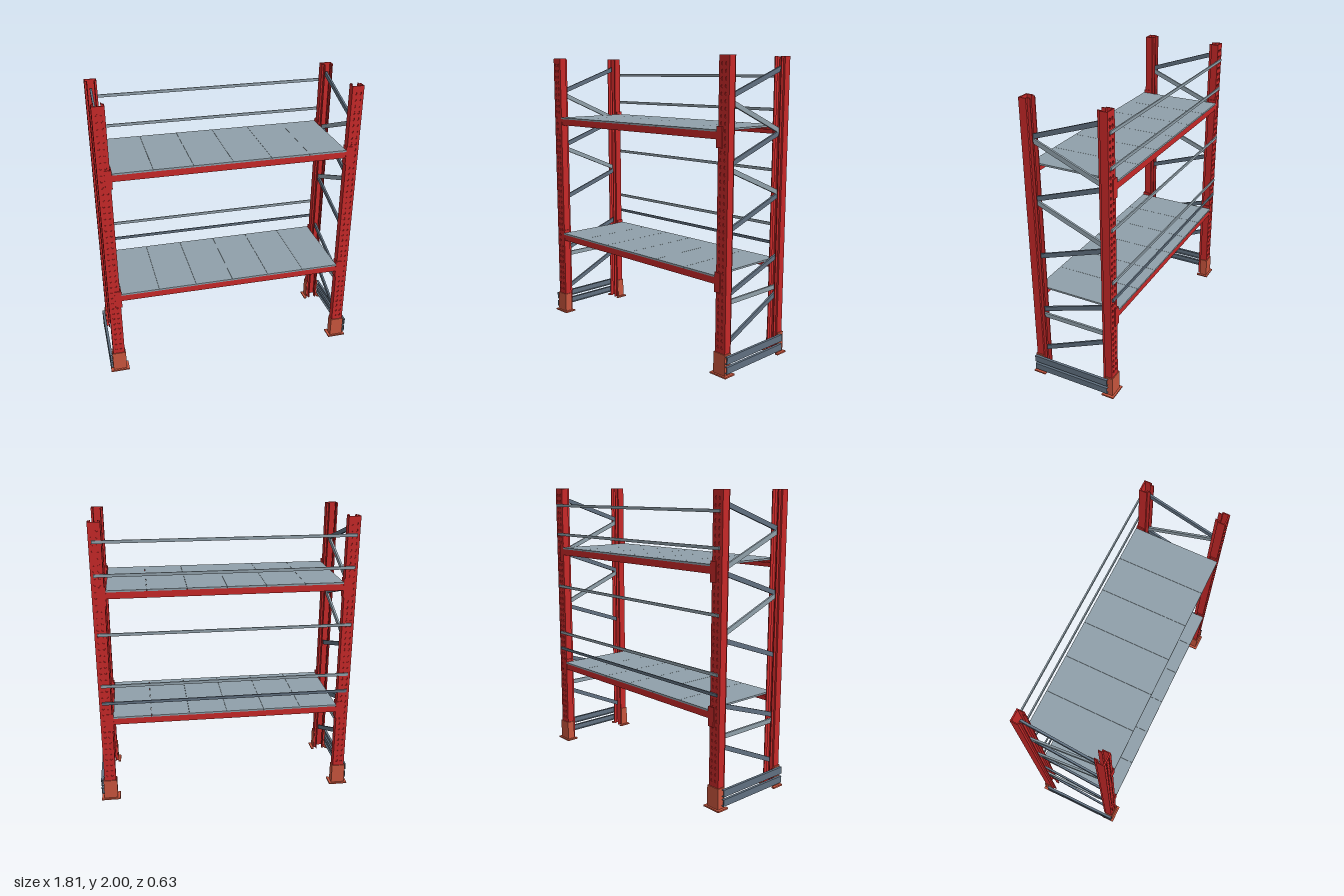
import * as THREE from 'three';

const mat = (name, color) => {
  const m = new THREE.MeshStandardMaterial({ color });
  m.name = name;
  return m;
};

export function createModel() {
  const red = mat('red paint', 0xc62828);
  const orange = mat('orange guard', 0xc8553d);
  const light = mat('light steel', 0x90a0aa);
  const dark = mat('dark steel', 0x607080);

  const root = new THREE.Group();
  root.name = 'palletRack';

  const group = (name, parent = root) => {
    const g = new THREE.Group();
    g.name = name;
    parent.add(g);
    return g;
  };
  // Box given by its limits on each axis
  const box = (parent, name, m, x0, x1, y0, y1, z0, z1) => {
    const mesh = new THREE.Mesh(new THREE.BoxGeometry(Math.abs(x1 - x0), y1 - y0, Math.abs(z1 - z0)), m);
    mesh.name = name;
    mesh.position.set((x0 + x1) / 2, (y0 + y1) / 2, (z0 + z1) / 2);
    parent.add(mesh);
    return mesh;
  };
  // Profile in (x, y), extruded along z from the origin
  const extrude = (pts, depth) => new THREE.ExtrudeGeometry(
    new THREE.Shape(pts.map(p => new THREE.Vector2(p[0], p[1]))), { depth, bevelEnabled: false });

  // Perforated face of a post
  const face = new THREE.Shape();
  face.moveTo(-0.041, 0.005);
  face.lineTo(0.041, 0.005);
  face.lineTo(0.041, 2);
  face.lineTo(-0.041, 2);
  face.closePath();
  for (let y = 0.19; y < 1.98; y += 0.044) {
    for (const x of [-0.016, 0.016]) {
      const hole = new THREE.Path();
      hole.absellipse(x, y, 0.008, 0.011, 0, Math.PI * 2, true);
      face.holes.push(hole);
    }
  }
  const faceGeometry = new THREE.ExtrudeGeometry(face, { depth: 0.005, bevelEnabled: false, curveSegments: 4 });

  // Posts, each with its foot guard; the back ones are turned round
  for (const sx of [-1, 1]) for (const sz of [-1, 1]) {
    const post = group('post');
    post.position.x = sx * 0.84;
    if (sz < 0) post.rotation.y = Math.PI;

    const web = new THREE.Mesh(faceGeometry, red);
    web.name = 'perforatedFace';
    web.position.z = 0.29;
    post.add(web);
    box(post, 'webBacking', red, -0.04, 0.04, 0.005, 1.999, 0.286, 0.29);
    for (const s of [-1, 1]) {
      box(post, 'postFlange', red, s * 0.035, s * 0.041, 0.005, 2, 0.245, 0.29);
      box(post, 'postStep', red, s * 0.022, s * 0.041, 0.005, 2, 0.243, 0.249);
      box(post, 'postLip', red, s * 0.022, s * 0.028, 0.005, 2, 0.223, 0.243);
    }

    const guard = group('footGuard', post);
    box(guard, 'guardFront', orange, -0.048, 0.048, 0, 0.15, 0.296, 0.302);
    box(guard, 'footFlangeFront', orange, -0.066, 0.066, 0, 0.01, 0.298, 0.315);
    for (const s of [-1, 1]) {
      box(guard, 'guardSide', orange, s * 0.042, s * 0.048, 0, 0.15, 0.245, 0.297);
      box(guard, 'footFlangeSide', orange, s * 0.046, s * 0.066, 0, 0.01, 0.225, 0.298);
    }
  }

  // Side frames: braces as [material, front height, back height]
  const braces = [
    [dark, 0.20, 0.40], [light, 0.468, 0.468], [dark, 0.52, 0.67], [dark, 0.934, 1.087],
    [light, 1.31, 1.13], [dark, 1.347, 1.50], [light, 1.722, 1.537], [dark, 1.76, 1.913],
  ];
  for (const sx of [-1, 1]) {
    const frame = group('sideFrame');
    for (const [m, yf, yb] of braces) {
      const angle = Math.atan2(yb - yf, 0.445);
      const brace = new THREE.Mesh(new THREE.BoxGeometry(0.014, 0.031, 0.53 / Math.cos(angle)), m);
      brace.name = 'brace';
      brace.position.set(sx * 0.84, (yf + yb) / 2, 0);
      brace.rotation.x = angle;
      frame.add(brace);
    }

    // Low side barriers: channels open towards the posts
    for (const [y0, y1] of [[0.028, 0.074], [0.092, 0.14]]) {
      const barrier = group('sideBarrier', frame);
      box(barrier, 'barrierWeb', dark, sx * 0.902, sx * 0.907, y0, y1, -0.268, 0.3);
      box(barrier, 'barrierLowerFlange', dark, sx * 0.889, sx * 0.902, y0, y0 + 0.004, -0.268, 0.3);
      box(barrier, 'barrierUpperFlange', dark, sx * 0.889, sx * 0.902, y1 - 0.004, y1, -0.268, 0.3);
    }
  }

  // Shelf levels
  const beamGeometry = extrude([
    [0.255, -0.046], [0.3, -0.046], [0.3, 0], [0.272, 0], [0.272, -0.018], [0.255, -0.018],
  ], 1.58);
  for (const y of [0.641, 1.547]) {
    const level = group('shelfLevel');

    // Six deck panels with narrow seams
    const w = 1.58 / 6;
    for (let i = 0; i < 6; i++) {
      const x = -0.79 + i * w;
      box(level, 'deckPanel', light, x + 0.0007, x + w - 0.0007, y, y + 0.012, -0.305, 0.305);
    }

    for (const sz of [-1, 1]) {
      const beam = new THREE.Mesh(beamGeometry, red);
      beam.name = 'beam';
      beam.rotation.y = sz > 0 ? -Math.PI / 2 : Math.PI / 2;
      beam.position.set(sz * 0.79, y, 0);
      level.add(beam);

      // Angled end connectors hooked on to the posts
      for (const sx of [-1, 1]) {
        box(level, 'connectorSide', red, sx * 0.79, sx * 0.797, y - 0.097, y + 0.033, sz * 0.25, sz * 0.302);
        box(level, 'connectorFace', red, sx * 0.797, sx * 0.836, y - 0.097, y + 0.033, sz * 0.296, sz * 0.302);
      }
    }
  }

  // Rear safety rails
  for (const [y, m] of [[0.757, dark], [0.885, light], [1.255, light], [1.657, light], [1.875, light]]) {
    box(root, 'rearRail', m, -0.862, 0.862, y - 0.01, y + 0.01, -0.304, -0.295);
  }

  return root;
}
